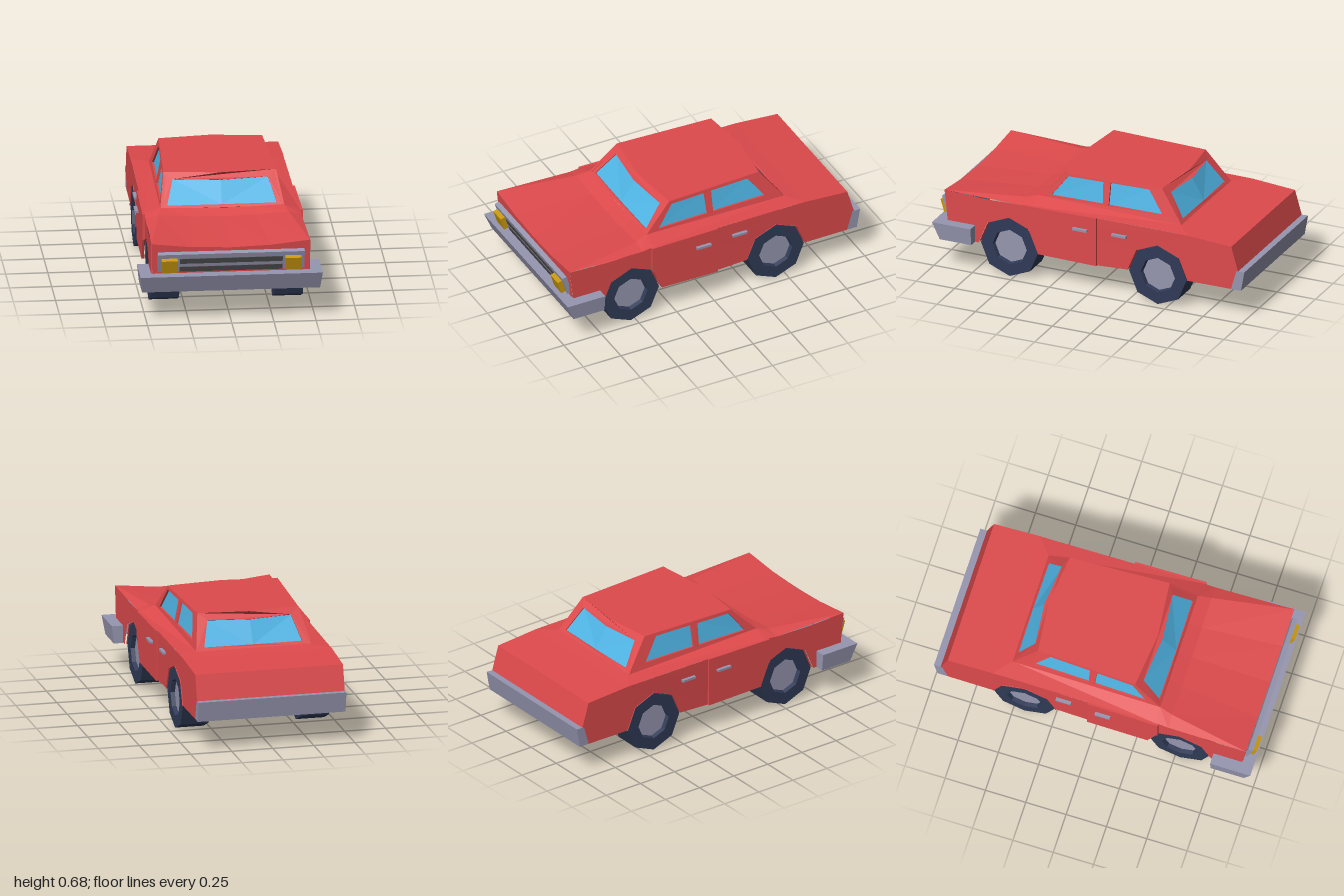
import * as THREE from 'three';

const paint = (color) => new THREE.MeshStandardMaterial({ color, flatShading: true, side: THREE.DoubleSide });
const RED = paint(0xde4a4c), GLASS = paint(0x4fb4e4), CHROME = paint(0x9696b0);
const TYRE = paint(0x2f3a56), GOLD = paint(0xc8980f), DARK = paint(0x4c4c4c);

function add(parent, name, geometry, material) {
  const mesh = new THREE.Mesh(geometry, material);
  mesh.name = name;
  parent.add(mesh);
  return mesh;
}

// Surface through rows of [x, y, z] points
function loft(rows) {
  const n = rows[0].length, index = [];
  for (let r = 0; r < rows.length - 1; r++) {
    for (let c = 0; c < n - 1; c++) {
      const a = r * n + c, b = a + n;
      index.push(a, b, a + 1, a + 1, b, b + 1);
    }
  }
  const g = new THREE.BufferGeometry();
  g.setAttribute('position', new THREE.Float32BufferAttribute(rows.flat(2), 3));
  g.setIndex(index);
  g.computeVertexNormals();
  return g;
}

// Flat outline with holes, given depth if wanted, then bent by map(u, v, d) -> [x, y, z]
function sheet(outline, holes, depth, map) {
  const path = (pts) => pts.map((p) => new THREE.Vector2(...p));
  const shape = new THREE.Shape(path(outline));
  shape.holes = holes.map((h) => new THREE.Path(path(h)));
  const g = depth ? new THREE.ExtrudeGeometry(shape, { depth, bevelEnabled: false }) : new THREE.ShapeGeometry(shape);
  const p = g.attributes.position;
  for (let i = 0; i < p.count; i++) p.setXYZ(i, ...map(p.getX(i), p.getY(i), p.getZ(i)));
  g.computeVertexNormals();
  return g;
}

const AXLES = [0.53, -0.433], AXLE_Y = 0.187;
// Half octagon wheel arch, front to back, as [z, y]
const arch = (z) => [0, 1, 2, 3, 4].map((i) => {
  const a = (i * Math.PI) / 4;
  return [z + 0.195 * Math.cos(a), AXLE_Y + 0.195 * Math.sin(a)];
});

// Row across the car with a sag towards the middle
const across = (half, yEdge, yMid, z) => [-1, -0.5, 0, 0.5, 1].map((t) => [t * half, yMid + (yEdge - yMid) * t * t, z]);

function addBody(car) {
  const hoodFront = across(0.47, 0.488, 0.455, 0.945);
  add(car, 'hood', loft([hoodFront, across(0.385, 0.5, 0.482, 0.46), across(0.367, 0.518, 0.508, 0.38)]), RED);
  add(car, 'frontPanel', loft([hoodFront, across(0.465, 0.3, 0.3, 0.925), across(0.462, 0.19, 0.19, 0.92)]), RED);
  add(car, 'trunkLid', loft([across(0.348, 0.49, 0.49, -0.54), across(0.453, 0.48, 0.48, -0.63), across(0.45, 0.46, 0.46, -0.91)]), RED);
  add(car, 'rearPanel', loft([across(0.45, 0.46, 0.46, -0.91), across(0.45, 0.305, 0.305, -0.955), across(0.45, 0.187, 0.187, -0.91)]), RED);

  const front = arch(AXLES[0]), rear = arch(AXLES[1]);
  const fender = [[0.4, 0.485], [0.4, 0.328], ...front.slice(0, 3).reverse(),
    [0.92, 0.19], [0.925, 0.3], [0.945, 0.488], [0.7, 0.476], [0.46, 0.478]];
  const door = [[0.4, 0.485], [-0.04, 0.485], [-0.04, 0.178], front[4], front[3], [0.4, 0.328]];
  const quarter = [[0.4, 0.485], [0.4, 0.4], [-0.04, 0.178], ...rear,
    [-0.91, 0.187], [-0.955, 0.305], [-0.91, 0.46], [-0.63, 0.48]];

  for (const s of [1, -1]) {
    const sideX = (z) => 0.455 + 0.0165 * Math.max(0, z) - 0.0055 * Math.max(0, -z);
    const flat = (z, y, d) => [s * (sideX(z) + d), y, z];
    add(car, 'frontFender', sheet(fender, [], 0, flat), RED);
    add(car, 'frontDoor', sheet(door, [], 0.014, flat), RED);
    add(car, 'rearQuarter', sheet(quarter, [], 0, flat), RED);

    // Shoulder between the cabin, hood edge and body side
    const shoulder = [
      [[0.47, 0.488, 0.945], [0.47, 0.488, 0.945]],
      [[0.385, 0.5, 0.46], [0.462, 0.478, 0.46]],
      [[0.367, 0.518, 0.38], [0.461, 0.485, 0.38]],
      [[0.348, 0.49, -0.54], [0.452, 0.481, -0.54]],
      [[0.453, 0.48, -0.63], [0.453, 0.48, -0.63]],
    ].map((row) => row.map(([x, y, z]) => [s * x, y, z]));
    add(car, 'shoulder', loft(shoulder), RED);

    // Wheel housings
    for (const axle of AXLES) {
      const a = arch(axle);
      add(car, 'wheelHousing', loft([0.457, 0.265].map((x) => a.map(([z, y]) => [s * x, y, z]))), RED);
      add(car, 'wheelHousingWall', sheet(a, [], 0, (z, y) => [s * 0.265, y, z]), RED);
    }

    // Door handles
    for (const [x, z] of [[0.483, 0.06], [0.466, -0.187]]) {
      add(car, 'doorHandle', new THREE.BoxGeometry(0.02, 0.014, 0.094), CHROME).position.set(s * x, 0.4, z);
    }
  }
}

function addCabin(car) {
  const TOP = 0.683;
  add(car, 'roof', loft([
    [[-0.335, TOP, 0.215], [0, TOP, 0.25], [0.335, TOP, 0.215]],
    [[-0.307, TOP, -0.395], [0, TOP, -0.43], [0.307, TOP, -0.395]],
  ]), RED);

  // Cabin sides with two windows each
  const side = [[0.38, 0.518], [0.215, TOP], [-0.395, TOP], [-0.54, 0.49]];
  const windows = [
    [[0.3, 0.53], [0.2, 0.662], [-0.022, 0.662], [-0.03, 0.53]],
    [[-0.068, 0.53], [-0.068, 0.664], [-0.315, 0.664], [-0.415, 0.528]],
  ];
  for (const s of [1, -1]) {
    const lean = (z, y, d) => {
      const t = (y - 0.5) / (TOP - 0.5);
      return [s * ((0.361 + 0.024 * z) * (1 - t) + (0.325 + 0.045 * z) * t - d), y, z];
    };
    add(car, 'cabinSide', sheet(side, windows, 0.016, lean), RED);
    for (const w of windows) add(car, 'sideWindow', sheet(w, [], 0, (z, y) => lean(z, y, 0.012)), GLASS);
  }

  // Windscreen and rear window walls, bowed along the roof edge
  const wall = (name, half, yBase, zBase, zTop, bow, glass) => {
    const dir = Math.sign(zBase);
    const map = (x, y, d) => {
      const t = (y - yBase) / (TOP - yBase);
      return [x, y - d * 0.5, zBase + (zTop - bow * Math.abs(x) - zBase) * t - dir * d];
    };
    const symmetric = (pts) => [...pts, ...pts.slice().reverse().filter((p) => p[0] > 0).map(([x, y]) => [-x, y])];
    const frame = symmetric([[0, yBase], [half[0], yBase], [half[1], TOP], [0, TOP]]);
    const hole = symmetric([[0, glass[1]], [glass[0], glass[1]], [glass[2], glass[3]], [0, glass[3] - 0.004]]);
    add(car, name + 'Frame', sheet(frame, [hole], 0.012, map), RED);
    add(car, name, sheet(hole, [], 0, (x, y) => map(x, y, 0.006)), GLASS);
  };
  wall('windscreen', [0.367, 0.335], 0.51, 0.38, 0.25, 0.104, [0.325, 0.525, 0.283, 0.65]);
  wall('rearWindow', [0.348, 0.307], 0.49, -0.54, -0.43, -0.114, [0.298, 0.508, 0.255, 0.645]);
}

function addBumpers(car) {
  // Front bumper wraps round the corners
  const station = (s, zTop, zLow, zIn) => [
    [s * 0.54, 0.297, zTop], [s * 0.528, 0.19, zLow], [s * 0.472, 0.19, zIn], [s * 0.472, 0.297, zIn], [s * 0.54, 0.297, zTop],
  ];
  const ends = [station(-1, 0.745, 0.745, 0.745), station(1, 0.745, 0.745, 0.745)];
  add(car, 'frontBumper', loft([ends[0], station(-1, 0.995, 0.95, 0.92), station(1, 0.995, 0.95, 0.92), ends[1]]), CHROME);
  for (const e of ends) add(car, 'frontBumperEnd', loft([[e[0], e[1]], [e[3], e[2]]]), CHROME);

  const section = [[-0.995, 0.31], [-0.973, 0.187], [-0.908, 0.187], [-0.943, 0.308]];
  add(car, 'rearBumper', sheet(section, [], 0.9, (z, y, d) => [d - 0.45, y, z]), CHROME);
}

function addGrille(car) {
  const grille = new THREE.Group();
  grille.name = 'grille';
  grille.position.set(0, 0.375, 0.945);
  grille.rotation.x = 0.3;
  car.add(grille);
  add(grille, 'grilleFrame', new THREE.BoxGeometry(0.87, 0.122, 0.03), CHROME);
  for (const y of [0.013, -0.044]) {
    add(grille, 'grilleSlot', new THREE.BoxGeometry(0.61, 0.034, 0.006), DARK).position.set(0, y, 0.015);
  }
  for (const s of [1, -1]) {
    add(grille, 'headlight', new THREE.BoxGeometry(0.095, 0.085, 0.032), GOLD).position.set(s * 0.367, -0.008, 0.028);
  }
}

function addWheels(car) {
  // Eight-sided tyre with a recessed hub
  const profile = [[0, -0.085], [0.187, -0.085], [0.187, 0.085], [0.112, 0.085], [0.105, 0.06]];
  const tyre = new THREE.LatheGeometry(profile.map((p) => new THREE.Vector2(...p)), 8);
  const hub = new THREE.CircleGeometry(0.108, 8).rotateX(-Math.PI / 2).translate(0, 0.06, 0);
  for (const s of [1, -1]) {
    for (const z of AXLES) {
      const wheel = new THREE.Group();
      wheel.name = z > 0 ? 'frontWheel' : 'rearWheel';
      add(wheel, 'tyre', tyre, TYRE);
      add(wheel, 'hub', hub, CHROME);
      wheel.rotation.z = (-s * Math.PI) / 2;
      wheel.position.set(s * 0.367, AXLE_Y, z);
      car.add(wheel);
    }
  }
}

export function createModel() {
  const car = new THREE.Group();
  car.name = 'car';
  addBody(car);
  addCabin(car);
  addBumpers(car);
  addGrille(car);
  addWheels(car);
  return car;
}
